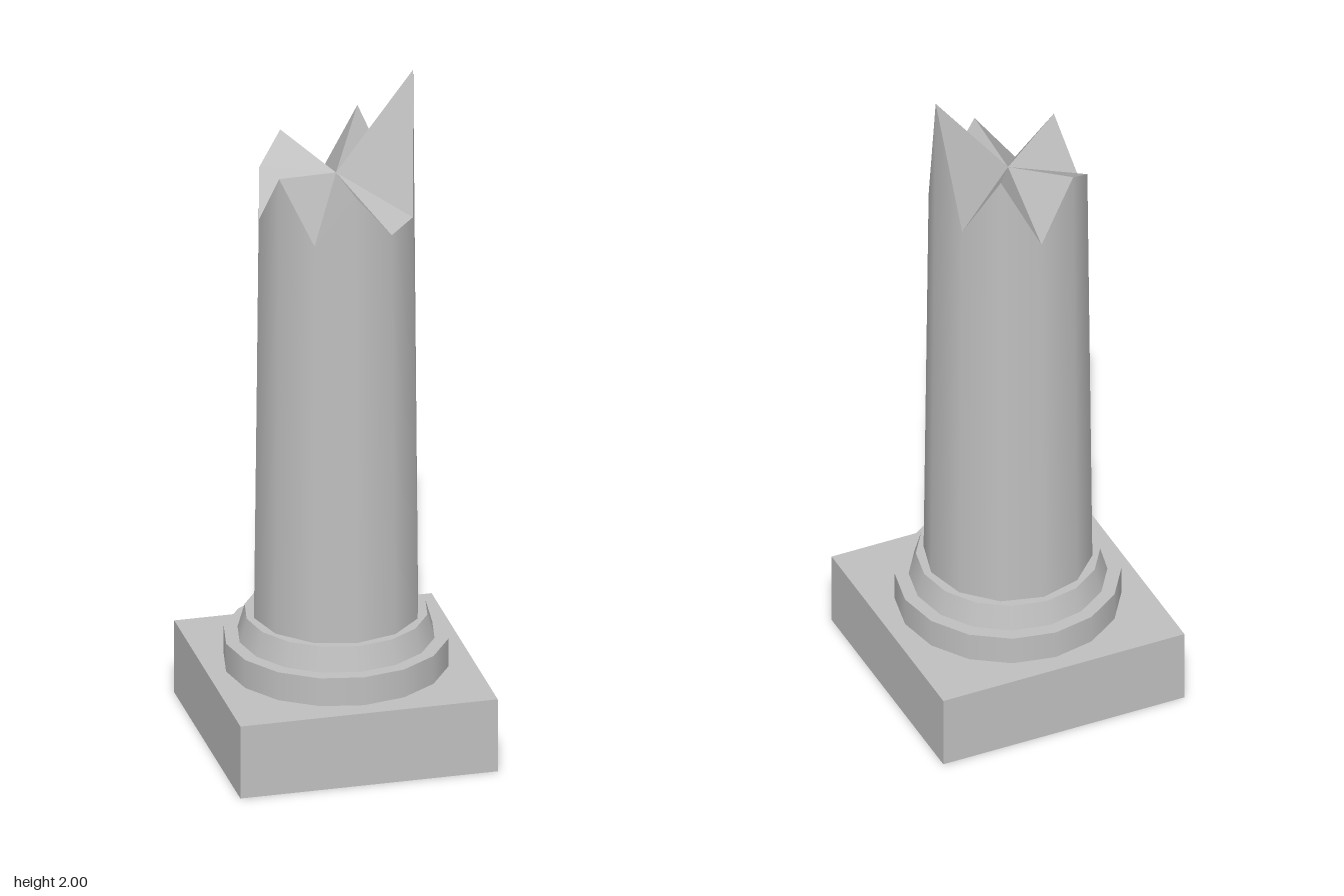
import * as THREE from 'three';

const stone = new THREE.MeshStandardMaterial({ color: 0xbfbfbf });
stone.name = 'paleStone';

// Heights of the broken rim, every 30 degrees from +x towards +z
const RIM = [2.0, 1.6, 1.59, 1.73, 1.58, 1.76, 1.59, 1.7, 1.77, 1.59, 1.82, 1.62];
const SIDES = RIM.length;
const RIM_RADIUS = 0.222;
const BREAK_CENTRE = 1.71;

function addPart(group, name, geometry, y = 0) {
  const mesh = new THREE.Mesh(geometry, stone);
  mesh.name = name;
  mesh.position.y = y;
  group.add(mesh);
}

// Twelve-sided tapering shaft whose top ring follows the broken rim
function shaftGeometry(bottom) {
  const geometry = new THREE.CylinderGeometry(RIM_RADIUS, 0.236, 1, SIDES, 1, true);
  const p = geometry.attributes.position;
  for (let i = 0; i < p.count; i++) {
    const k = Math.round(Math.atan2(p.getZ(i), p.getX(i)) / (2 * Math.PI) * SIDES);
    p.setY(i, p.getY(i) > 0 ? RIM[(k + SIDES) % SIDES] : bottom);
  }
  return geometry;
}

// Fan of flat facets from the centre of the break to the rim
function breakGeometry() {
  const rimPoint = (k) => {
    const a = k / SIDES * Math.PI * 2;
    return [RIM_RADIUS * Math.cos(a), RIM[k % SIDES], RIM_RADIUS * Math.sin(a)];
  };
  const points = [];
  for (let k = 0; k < SIDES; k++) {
    points.push(0, BREAK_CENTRE, 0, ...rimPoint(k + 1), ...rimPoint(k));
  }
  const geometry = new THREE.BufferGeometry();
  geometry.setAttribute('position', new THREE.Float32BufferAttribute(points, 3));
  geometry.computeVertexNormals();
  return geometry;
}

export function createModel() {
  const column = new THREE.Group();
  column.name = 'brokenColumn';

  // Stepped base
  addPart(column, 'plinth', new THREE.BoxGeometry(0.74, 0.22, 0.74), 0.11);
  addPart(column, 'lowerRing', new THREE.CylinderGeometry(0.316, 0.316, 0.085, 16), 0.2625);
  addPart(column, 'upperRing', new THREE.CylinderGeometry(0.257, 0.277, 0.07, 16), 0.34);

  // Shaft and its fractured top
  addPart(column, 'shaft', shaftGeometry(0.375));
  addPart(column, 'brokenTop', breakGeometry());
  return column;
}
